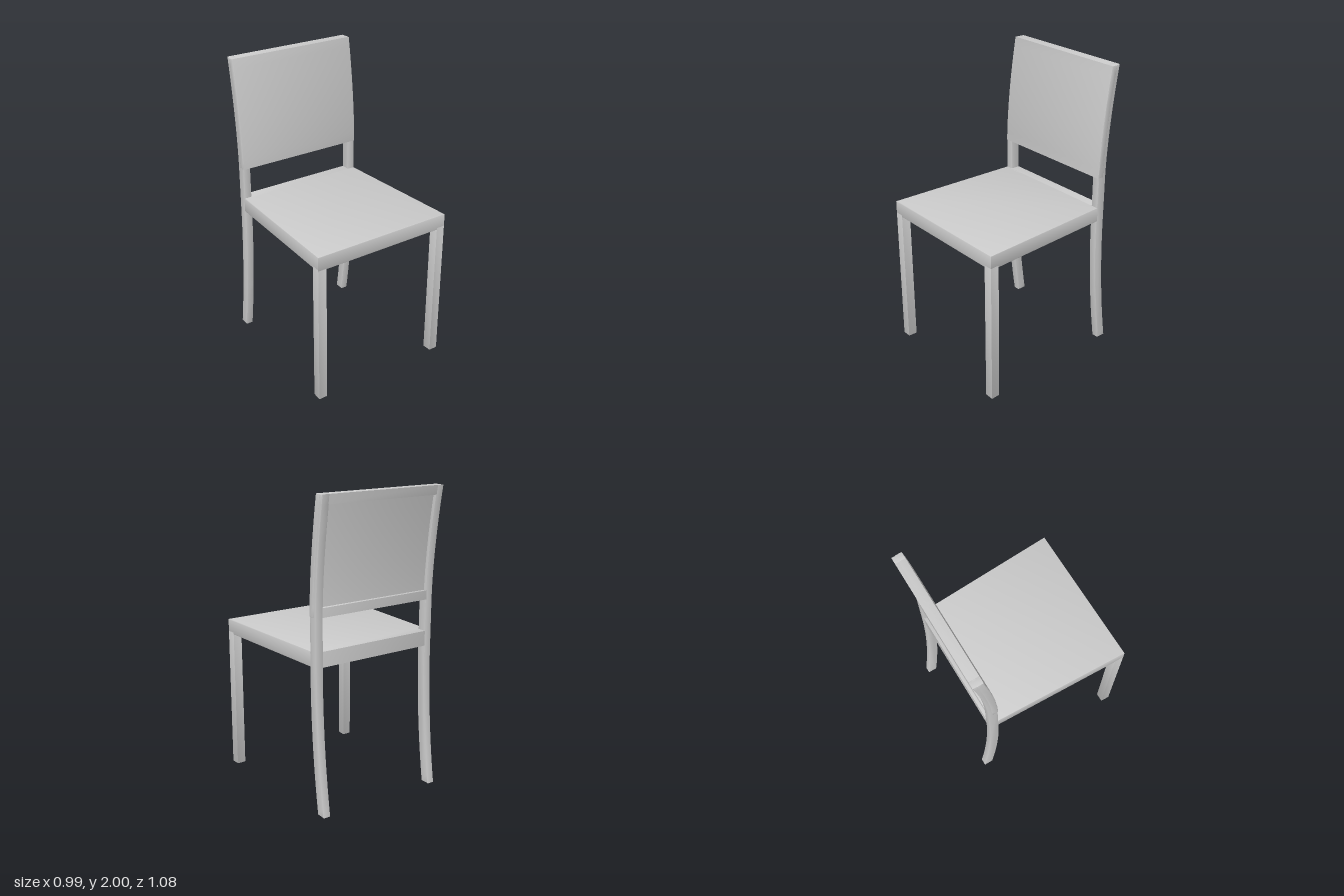
import * as THREE from 'three';
import { toCreasedNormals } from 'three/addons/utils/BufferGeometryUtils.js';

const BEVEL = 0.006;
const SEAT_BOTTOM = 0.955, SEAT_TOP = 1.055;
const BACK_BOTTOM = 1.265, TOP = 2;
const POST_DEPTH = 0.065, POST_IN = 0.4, POST_OUT = 0.452;

// Front face of the rear posts: straight in the middle, swept back at both ends
function postFront(y) {
  const low = Math.max(0, (SEAT_BOTTOM - y) / SEAT_BOTTOM);
  const high = Math.max(0, (y - BACK_BOTTOM) / (TOP - BACK_BOTTOM));
  return -0.4 - 0.075 * (low * low + Math.pow(high, 1.7));
}

// Half width of the tapered seat at depth z
const seatHalf = (z) => 0.453 + 0.042 * (z + 0.4) / 0.94;

// Extrusion with softened edges that keeps its nominal size, centred on depth
function softExtrude(points, depth) {
  const geometry = new THREE.ExtrudeGeometry(new THREE.Shape(points), {
    depth: depth - 2 * BEVEL, bevelEnabled: true, bevelSize: BEVEL,
    bevelThickness: BEVEL, bevelOffset: -BEVEL, bevelSegments: 2,
  });
  geometry.translate(0, 0, -depth / 2 + BEVEL);
  return geometry;
}

// Part following the sweep of the posts from y0 to y1, between x0 and x1,
// with its faces at depths d0 and d1 behind the post front
function sweptPart(y0, y1, x0, x1, d0, d1) {
  const steps = Math.max(1, Math.round((y1 - y0) / 0.06));
  const front = [], back = [];
  for (let i = 0; i <= steps; i++) {
    const y = y0 + (y1 - y0) * i / steps;
    front.push(new THREE.Vector2(postFront(y) - d0, y));
    back.unshift(new THREE.Vector2(postFront(y) - d1, y));
  }
  return softExtrude([...front, ...back], x1 - x0)
    .rotateY(-Math.PI / 2).translate((x0 + x1) / 2, 0, 0);
}

// Horizontal outline given as [x, z] corners, raised from y0 to y1
function uprightPart(corners, y0, y1) {
  return softExtrude(corners.map(([x, z]) => new THREE.Vector2(x, -z)), y1 - y0)
    .rotateX(-Math.PI / 2).translate(0, (y0 + y1) / 2, 0);
}

export function createModel() {
  const chair = new THREE.Group();
  chair.name = 'chair';
  const material = new THREE.MeshStandardMaterial({ color: 0xcccccc });
  const add = (name, geometry) => {
    const mesh = new THREE.Mesh(toCreasedNormals(geometry, 0.6), material);
    mesh.name = name;
    chair.add(mesh);
  };

  // Tapered seat with its deep edge, and the rear rail between the posts
  const f = seatHalf(0.54), b = seatHalf(-0.4);
  add('seat', uprightPart([[-f, 0.54], [f, 0.54], [b, -0.405], [-b, -0.405]], SEAT_BOTTOM, SEAT_TOP));
  add('seatRearRail', sweptPart(SEAT_BOTTOM, SEAT_TOP, -POST_IN - 0.01, POST_IN + 0.01, -0.01, POST_DEPTH - 0.002));

  for (const side of [1, -1]) {
    const label = side > 0 ? 'left' : 'right';
    // Straight front leg following the seat taper
    const i = seatHalf(0.48);
    add(label + 'FrontLeg', uprightPart([
      [side * (f - 0.06), 0.54], [side * f, 0.54],
      [side * i, 0.478], [side * (i - 0.06), 0.478],
    ], 0, SEAT_BOTTOM + 0.02));
    // Curved post running from the floor to the top of the backrest
    const x = [side * POST_IN, side * POST_OUT].sort((p, q) => p - q);
    add(label + 'RearPost', sweptPart(0, TOP, x[0], x[1], 0, POST_DEPTH));
  }

  // Backrest: front panel with rails behind it, leaving a recess at the rear
  add('backPanel', sweptPart(BACK_BOTTOM, TOP, -POST_OUT - 0.002, POST_OUT + 0.002, -0.003, 0.042));
  add('backTopRail', sweptPart(TOP - 0.06, TOP, -POST_IN - 0.01, POST_IN + 0.01, 0.01, POST_DEPTH));
  add('backLowerRail', sweptPart(BACK_BOTTOM, BACK_BOTTOM + 0.06, -POST_IN - 0.01, POST_IN + 0.01, 0.01, POST_DEPTH));

  return chair;
}
